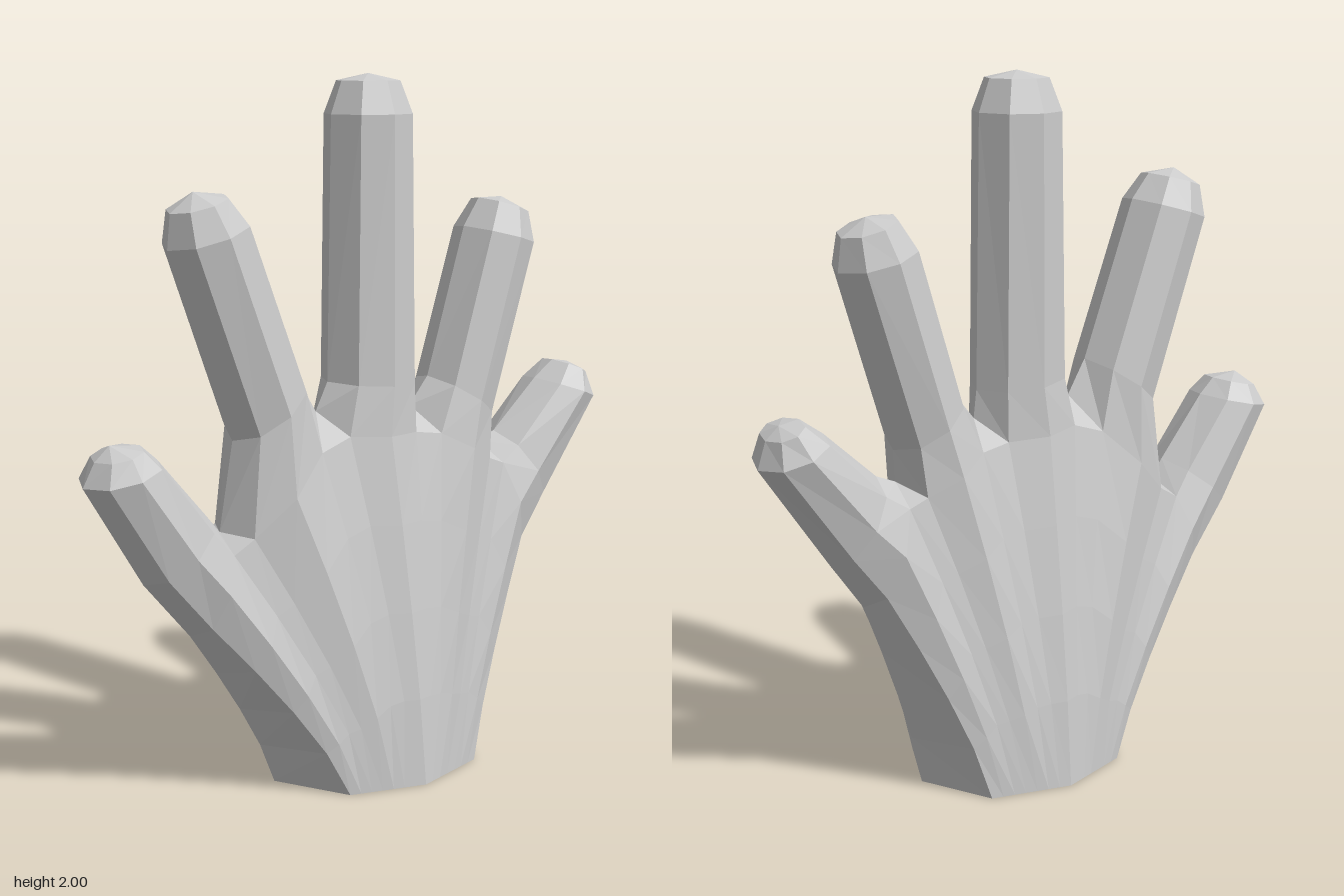
import * as THREE from 'three';

// Each finger: rings from root to tip as [leftX, leftY, rightX, rightY, halfDepth], then the tip point.
// Neighbouring fingers share their root side points, which form the webs.
const FINGERS = [
  { name: 'outerFinger', drop: 0, tip: [-0.79, 1.055], rings: [
    [-0.56, 0.49, -0.46, 0.77, 0.14], [-0.7, 0.66, -0.5, 0.82, 0.125],
    [-0.87, 0.95, -0.65, 1.0, 0.122], [-0.835, 1.015, -0.7, 1.045, 0.085]] },
  { name: 'ringFinger', drop: 0.05, tip: [-0.525, 1.7], rings: [
    [-0.46, 0.77, -0.14, 1.07, 0.145], [-0.415, 1.02, -0.2, 1.17, 0.13],
    [-0.605, 1.55, -0.37, 1.62, 0.125], [-0.595, 1.645, -0.43, 1.69, 0.09]] },
  { name: 'middleFinger', drop: 0.06, tip: [0.04, 2.0], rings: [
    [-0.14, 1.07, 0.19, 1.05, 0.138], [-0.1, 1.15, 0.18, 1.13, 0.13],
    [-0.085, 1.89, 0.165, 1.89, 0.125], [-0.05, 1.98, 0.13, 1.98, 0.09]] },
  { name: 'indexFinger', drop: 0.05, tip: [0.525, 1.64], rings: [
    [0.19, 1.05, 0.45, 0.91, 0.145], [0.255, 1.13, 0.455, 1.0, 0.13],
    [0.385, 1.56, 0.612, 1.5, 0.125], [0.44, 1.64, 0.6, 1.59, 0.09]] },
  { name: 'thumb', drop: 0, tip: [0.8, 1.12], rings: [
    [0.45, 0.91, 0.56, 0.57, 0.14], [0.51, 0.935, 0.66, 0.71, 0.125],
    [0.67, 1.08, 0.865, 1.01, 0.122], [0.74, 1.13, 0.84, 1.085, 0.085]] },
];

const ACROSS = [0, 0.15, 0.5, 0.85, 1];
const DEPTH = [0, 0.72, 1, 0.72, 0];

// Front half of an eight-sided ring, from its left side to its right side
function halfRing([lx, ly, rx, ry, h], drop = 0) {
  return ACROSS.map((f, j) => new THREE.Vector3(
    lx + (rx - lx) * f, ly + (ry - ly) * f - (j % 4 ? drop : 0), h * DEPTH[j]));
}

// Collects faces on the front half and mirrors each one to the back
class Faces {
  positions = [];
  tri(a, b, c) {
    for (const p of [a, b, c]) this.positions.push(p.x, p.y, p.z);
    for (const p of [a, c, b]) this.positions.push(p.x, p.y, -p.z);
  }
  strip(lower, upper) {
    for (let j = 0; j < lower.length - 1; j++) {
      this.tri(lower[j], lower[j + 1], upper[j + 1]);
      this.tri(lower[j], upper[j + 1], upper[j]);
    }
  }
  mesh(name, material) {
    const geometry = new THREE.BufferGeometry();
    geometry.setAttribute('position', new THREE.Float32BufferAttribute(this.positions, 3));
    geometry.computeVertexNormals();
    const mesh = new THREE.Mesh(geometry, material);
    mesh.name = name;
    return mesh;
  }
}

function makeFinger({ name, rings, tip, drop }, material) {
  const faces = new Faces();
  const halves = rings.map((r, i) => halfRing(r, i ? 0 : drop));
  for (let i = 0; i < halves.length - 1; i++) faces.strip(halves[i], halves[i + 1]);
  const end = new THREE.Vector3(tip[0], tip[1], 0);
  const last = halves[halves.length - 1];
  for (let j = 0; j < 4; j++) faces.tri(last[j], last[j + 1], end);
  return faces.mesh(name, material);
}

function makePalm(material) {
  const faces = new Faces();
  const roots = FINGERS.map((f) => halfRing(f.rings[0], f.drop));

  // Upper edge: outer side, three front points per finger, outer side
  const top = [roots[0][0], ...roots.flatMap((r) => r.slice(1, 4)), roots[4][4]];

  // Wrist: half an octagon spread over the same number of columns
  const corners = [[-0.17, 0.21], [0.05, 0.275], [0.28, 0.21]];
  const wrist = top.map((_, j) => {
    if (j === 0) return new THREE.Vector3(-0.29, 0, 0);
    if (j === 16) return new THREE.Vector3(0.38, 0, 0);
    const k = j < 8 ? 0 : 1;
    const f = (j - 1 - 7 * k) / 7;
    const [a, b] = [corners[k], corners[k + 1]];
    return new THREE.Vector3(a[0] + (b[0] - a[0]) * f, 0, a[1] + (b[1] - a[1]) * f);
  });

  // Rows from wrist to finger roots, flaring slightly
  const ROWS = 4;
  const rows = [];
  for (let i = 0; i <= ROWS; i++) {
    const t = i / ROWS;
    const e = t ** 1.25;
    rows.push(wrist.map((w, j) => new THREE.Vector3(
      w.x + (top[j].x - w.x) * e, top[j].y * t, w.z + (top[j].z - w.z) * e)));
  }
  for (let i = 0; i < ROWS; i++) faces.strip(rows[i], rows[i + 1]);

  // Webs between neighbouring fingers
  for (let i = 0; i < 4; i++) faces.tri(roots[i][3], roots[i + 1][1], roots[i][4]);

  // Flat wrist end
  const centre = new THREE.Vector3(0.05, 0, 0);
  for (let j = 0; j < 16; j++) faces.tri(wrist[j + 1], wrist[j], centre);
  return faces.mesh('palm', material);
}

export function createModel() {
  const material = new THREE.MeshStandardMaterial({ color: 0xcccccc, flatShading: true });
  const hand = new THREE.Group();
  hand.name = 'hand';
  hand.add(makePalm(material), ...FINGERS.map((f) => makeFinger(f, material)));
  return hand;
}
